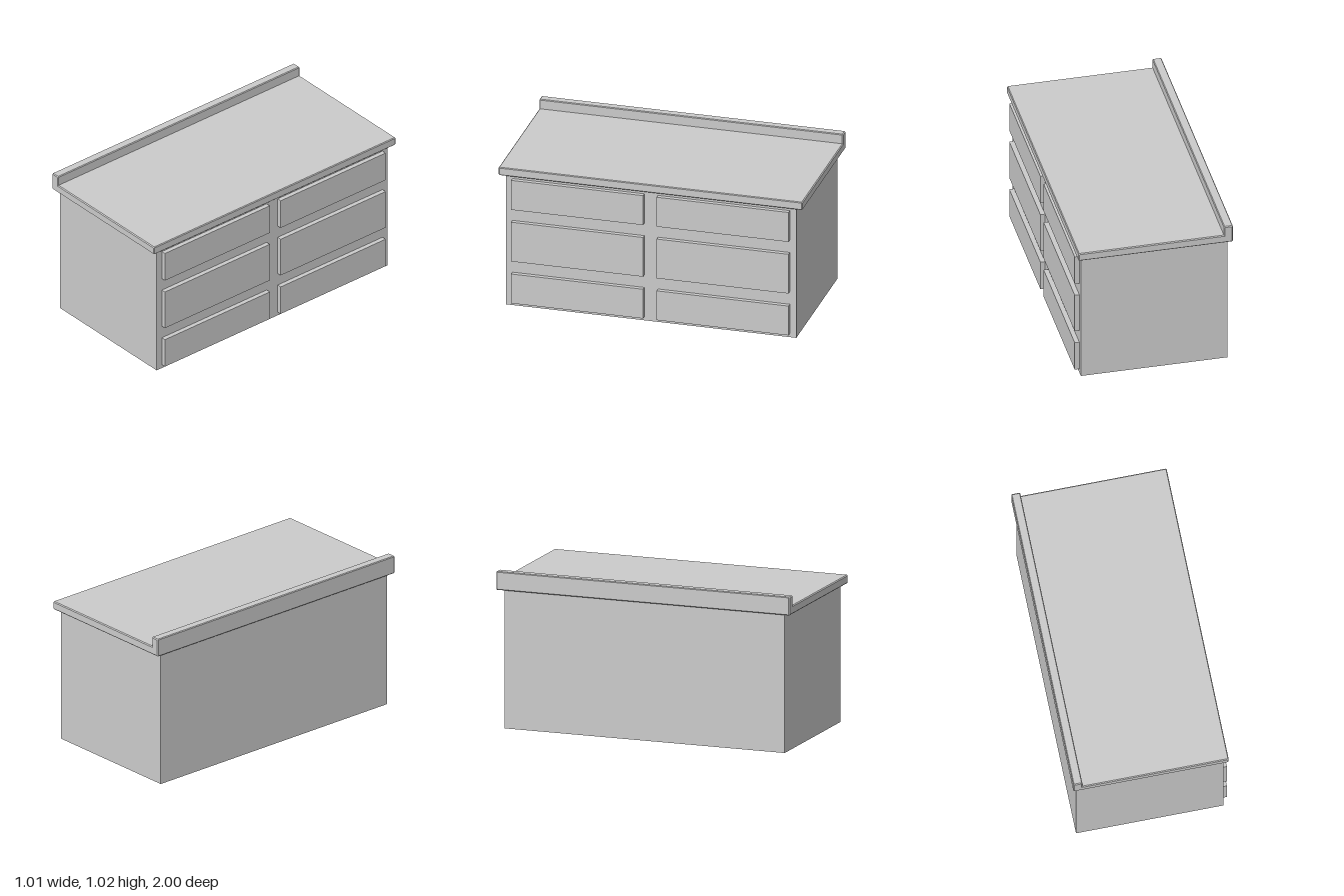
import * as THREE from 'three';

const material = new THREE.MeshStandardMaterial({ color: 0xcccccc, flatShading: true });

// Box given by its min and max corners
function boxBetween(name, [x0, y0, z0], [x1, y1, z1]) {
  const mesh = new THREE.Mesh(new THREE.BoxGeometry(x1 - x0, y1 - y0, z1 - z0), material);
  mesh.position.set((x0 + x1) / 2, (y0 + y1) / 2, (z0 + z1) / 2);
  mesh.name = name;
  return mesh;
}

// L-shaped counter profile with clipped outer corners, extruded along z
function createCountertop() {
  const left = -0.505, right = 0.498, bottom = 0.9, top = 0.955;
  const lipRight = -0.447, lipTop = 1.02, c = 0.005;
  const profile = new THREE.Shape([
    [left + c, bottom], [right - c, bottom], [right, bottom + c],
    [right, top - c], [right - c, top], [lipRight, top],
    [lipRight, lipTop - c], [lipRight - c, lipTop],
    [left + c, lipTop], [left, lipTop - c], [left, bottom + c],
  ].map(([x, y]) => new THREE.Vector2(x, y)));
  const bevel = 0.006;
  const geometry = new THREE.ExtrudeGeometry(profile, {
    depth: 2 - 2 * bevel, bevelEnabled: true, bevelSegments: 1,
    bevelSize: bevel, bevelThickness: bevel, bevelOffset: -bevel,
  });
  geometry.translate(0, 0, -1 + bevel);
  const mesh = new THREE.Mesh(geometry, material);
  mesh.name = 'countertop';
  return mesh;
}

export function createModel() {
  const model = new THREE.Group();
  model.name = 'drawerCabinet';

  // Cabinet body
  model.add(boxBetween('cabinetBody', [-0.48, 0, -0.953], [0.473, 0.902, 0.957]));

  // Drawer fronts: two columns of three, on the +x side
  const drawers = new THREE.Group();
  drawers.name = 'drawerFronts';
  const rows = [[0.025, 0.228], [0.315, 0.587], [0.673, 0.877]];
  const columns = [[-0.91, -0.043], [0.047, 0.914]];
  for (const [y0, y1] of rows) {
    for (const [z0, z1] of columns) {
      drawers.add(boxBetween('drawerFront', [0.47, y0, z0], [0.503, y1, z1]));
    }
  }
  model.add(drawers);

  // Countertop with raised back lip
  model.add(createCountertop());
  return model;
}
